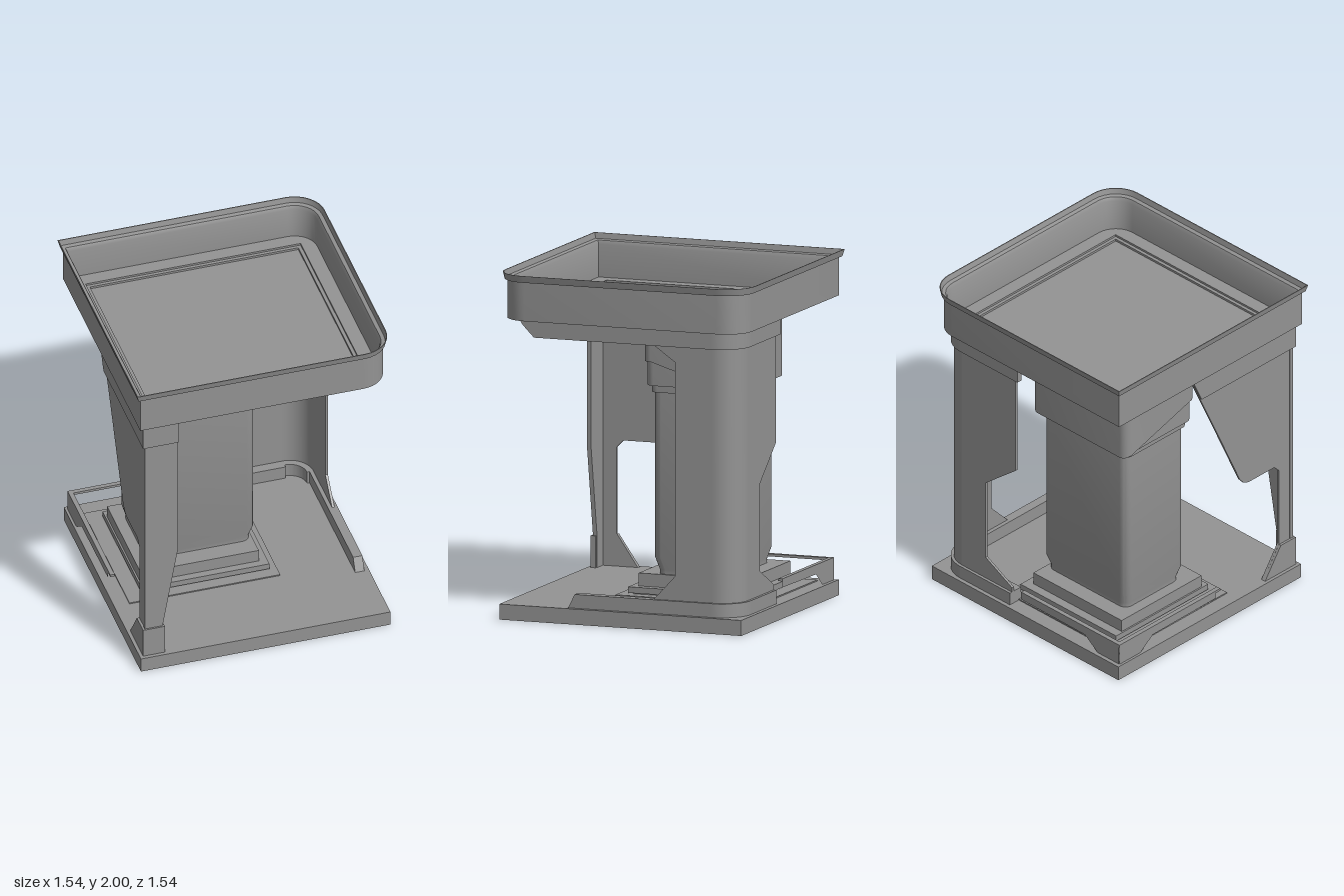
import * as THREE from 'three';
import { toCreasedNormals } from 'three/addons/utils/BufferGeometryUtils.js';

export function createModel() {
  const group = new THREE.Group();
  const stone = new THREE.MeshStandardMaterial({ color: 0x939393 });
  stone.name = 'grey stone';

  function add(name, geometry, x = 0, y = 0, z = 0) {
    const mesh = new THREE.Mesh(geometry, stone);
    mesh.name = name;
    mesh.position.set(x, y, z);
    group.add(mesh);
    return mesh;
  }
  // Box given by its extents
  const block = (name, x0, x1, y0, y1, z0, z1) =>
    add(name, new THREE.BoxGeometry(x1 - x0, y1 - y0, z1 - z0), (x0 + x1) / 2, (y0 + y1) / 2, (z0 + z1) / 2);
  const shapeOf = (pts) => new THREE.Shape(pts.map(([u, v]) => new THREE.Vector2(u, v)));
  const extrude = (shape, depth) =>
    toCreasedNormals(new THREE.ExtrudeGeometry(shape, { depth, bevelEnabled: false, curveSegments: 10 }), 0.6);

  // Upright slab parallel to the front; outline in (x, y)
  const slabZ = (name, pts, zMin, t) => add(name, extrude(shapeOf(pts), t), 0, 0, zMin);
  // Upright slab parallel to the side; outline in (z, y)
  const slabX = (name, pts, xMax, t) => {
    add(name, extrude(shapeOf(pts), t), xMax, 0, 0).rotation.y = -Math.PI / 2;
  };
  // Quarter-round wall at the back left corner
  function corner(name, r, t, y0, y1) {
    const s = new THREE.Shape();
    s.absarc(0, 0, r, 0, Math.PI / 2, false);
    s.absarc(0, 0, r - t, Math.PI / 2, 0, true);
    add(name, extrude(s, y1 - y0), 0.55, y0, -0.55).rotation.x = -Math.PI / 2;
  }

  // Rectangle outline with its own corner radius at each end of x
  function outline(x0, x1, z0, z1, rNeg, rPos) {
    const pts = [], n = 8;
    const arcs = [[x1, z1, rPos, 1, 1], [x0, z1, rNeg, -1, 1], [x0, z0, rNeg, -1, -1], [x1, z0, rPos, 1, -1]];
    arcs.forEach(([x, z, r, sx, sz], k) => {
      for (let i = 0; i <= n; i++) {
        const a = (k + i / n) * Math.PI / 2;
        pts.push([x - sx * r + Math.cos(a) * r, z - sz * r + Math.sin(a) * r]);
      }
    });
    return pts;
  }
  // Skin over a stack of outlines, each { pts, y }, where y is a height or a function of z
  function loft(rings, closed) {
    const v = [], n = rings[0].pts.length;
    const put = ({ pts, y }, i) => {
      const [x, z] = pts[i % n];
      v.push(x, typeof y === 'function' ? y(z) : y, z);
    };
    const last = closed ? rings.length : rings.length - 1;
    for (let k = 0; k < last; k++) {
      const a = rings[k], b = rings[(k + 1) % rings.length];
      for (let i = 0; i < n; i++) {
        put(a, i); put(b, i); put(b, i + 1);
        put(a, i); put(b, i + 1); put(a, i + 1);
      }
    }
    if (!closed) {
      const top = rings[rings.length - 1];
      for (let i = 1; i < n - 1; i++) {
        put(rings[0], 0); put(rings[0], i); put(rings[0], i + 1);
        put(top, 0); put(top, i + 1); put(top, i);
      }
    }
    const g = new THREE.BufferGeometry();
    g.setAttribute('position', new THREE.Float32BufferAttribute(v, 3));
    return toCreasedNormals(g, 0.5);
  }

  // Base slab and thin floor plate
  block('baseSlab', -0.74, 0.75, 0, 0.09, -0.746, 0.742);
  block('floorPlate', -0.65, 0.25, 0.09, 0.097, -0.65, 0.23);

  // Pillar foot, shaft and capital
  block('pillarPlinth', -0.56, 0.205, 0.105, 0.14, -0.58, 0.17);
  block('plinthFoot', -0.54, 0.18, 0.09, 0.105, -0.56, 0.15);
  block('pillarFoot', -0.55, 0.155, 0.14, 0.215, -0.525, 0.125);
  const pillar = (name, levels) => add(name, loft(levels.map(([e, y]) => ({
    pts: outline(-0.503 - e, 0.16 + e, -0.445 - e, 0.037 + e, 0.05, 0.05), y })), false));
  pillar('pillarShaft', [[-0.02, 0.215], [-0.02, 0.24], [0, 0.31], [0, 1.27]]);
  pillar('pillarNeck', [[0.015, 1.27], [0.015, 1.31]]);
  pillar('pillarCapital', [[0.033, 1.31], [0.033, 1.45]]);
  // Cap whose lower edge drops towards the back
  const capBottom = (z) => Math.min(1.45, 1.443 + z * 0.31);
  pillar('pillarCap', [[0.045, capBottom], [0.045, 1.65]]);

  // Rounded corner wall at the back
  const wall = 0.015;
  slabZ('backWall', [[0.55, 0.09], [0.15, 0.09], [0.15, 0.2], [0.36, 0.31], [0.36, 0.82],
    [0.12, 1.015], [0.12, 1.74], [0.55, 1.74]], -0.705, wall);
  slabX('sideWall', [[-0.55, 0.09], [-0.12, 0.09], [-0.19, 0.17], [-0.32, 0.31], [-0.32, 1.55],
    [-0.19, 1.64], [-0.1, 1.74], [-0.55, 1.74]], 0.705, wall);
  corner('cornerWall', 0.155, wall, 0.09, 1.74);

  // Mouldings at the foot and head of that wall
  slabZ('backFootMoulding', [[0.55, 0.09], [0.15, 0.09], [0.15, 0.17], [0.55, 0.17]], -0.722, 0.09);
  slabX('sideFootMoulding', [[0.33, 0.09], [0.29, 0.17], [-0.55, 0.17], [-0.55, 0.09]], 0.722, 0.055);
  corner('cornerFootMoulding', 0.172, 0.07, 0.09, 0.17);
  slabZ('backHeadMoulding', [[0.55, 1.64], [0.09, 1.64], [0.09, 1.74], [0.55, 1.74]], -0.722, 0.032);
  slabX('sideHeadMoulding', [[0.63, 1.74], [0.61, 1.71], [0.54, 1.64], [-0.55, 1.64], [-0.55, 1.74]], 0.722, 0.032);
  corner('cornerHeadMoulding', 0.172, 0.032, 1.64, 1.74);

  // Square corner post at the front right with its broken side panel
  slabZ('postFront', [[-0.707, 0.09], [-0.6, 0.09], [-0.6, 0.28], [-0.51, 0.8], [-0.51, 1.74],
    [-0.707, 1.74]], 0.685, 0.025);
  slabX('postSide', [[0.705, 0.09], [0.47, 0.09], [0.6, 0.28], [0.6, 0.78], [0.56, 0.82], [0.35, 0.82],
    [0.31, 0.835], [0.28, 0.87], [0.07, 1.33], [-0.12, 1.74], [0.705, 1.74]], -0.69, wall);
  slabZ('postFrontHead', [[-0.72, 1.58], [-0.51, 1.58], [-0.51, 1.74], [-0.72, 1.74]], 0.69, 0.03);
  slabX('postSideHead', [[0.72, 1.58], [-0.045, 1.58], [-0.12, 1.74], [0.72, 1.74]], -0.69, 0.03);
  slabZ('postFrontFoot', [[-0.72, 0.09], [-0.59, 0.09], [-0.59, 0.275], [-0.72, 0.275]], 0.69, 0.03);
  slabX('postSideFoot', [[0.72, 0.09], [0.47, 0.09], [0.598, 0.275], [0.72, 0.275]], -0.69, 0.03);

  // Broken skirting at the back right corner: rail on top, outward face below
  block('backRail', -0.725, 0.06, 0.205, 0.22, -0.722, -0.695);
  block('sideRail', -0.725, -0.698, 0.205, 0.22, -0.722, 0.1);
  const skirt = [[-0.06, 0.205], [0.722, 0.205], [0.722, 0.09], [0.55, 0.09], [0.45, 0.165], [-0.06, 0.17]];
  add('backSkirting', new THREE.ShapeGeometry(shapeOf(skirt)), 0, 0, -0.722).rotation.y = Math.PI;
  const sideSkirt = skirt.map(([u, y]) => [-u, y]);
  add('sideSkirting', new THREE.ShapeGeometry(shapeOf(sideSkirt)), -0.725, 0, 0).rotation.y = -Math.PI / 2;

  // Tray rim: cross-section swept round the outline, with a thin flared lip
  const trayOutline = (o) => outline(-o, o, -o, o, 0, o - 0.59);
  const section = [[0.725, 1.735], [0.745, 1.735], [0.745, 1.96], [0.76, 1.96], [0.77, 2],
    [0.765, 2], [0.757, 1.967], [0.735, 1.962], [0.725, 1.94]];
  add('trayRim', loft(section.map(([o, y]) => ({ pts: trayOutline(o), y })), true));

  // Tray floor with a stepped, sunken panel
  const square = (h) => [[-h, -h], [h, -h], [h, h], [-h, h]];
  function floorRing(name, pts, hole, y0, y1) {
    const s = shapeOf(pts);
    s.holes.push(new THREE.Path(square(hole).map(([a, b]) => new THREE.Vector2(a, b))));
    add(name, extrude(s, y1 - y0), 0, y0, 0).rotation.x = -Math.PI / 2;
  }
  floorRing('trayFloor', trayOutline(0.735), 0.642, 1.735, 1.75);
  floorRing('panelStep', square(0.642), 0.622, 1.72, 1.738);
  block('sunkenPanel', -0.622, 0.622, 1.715, 1.725, -0.622, 0.622);

  return group;
}
